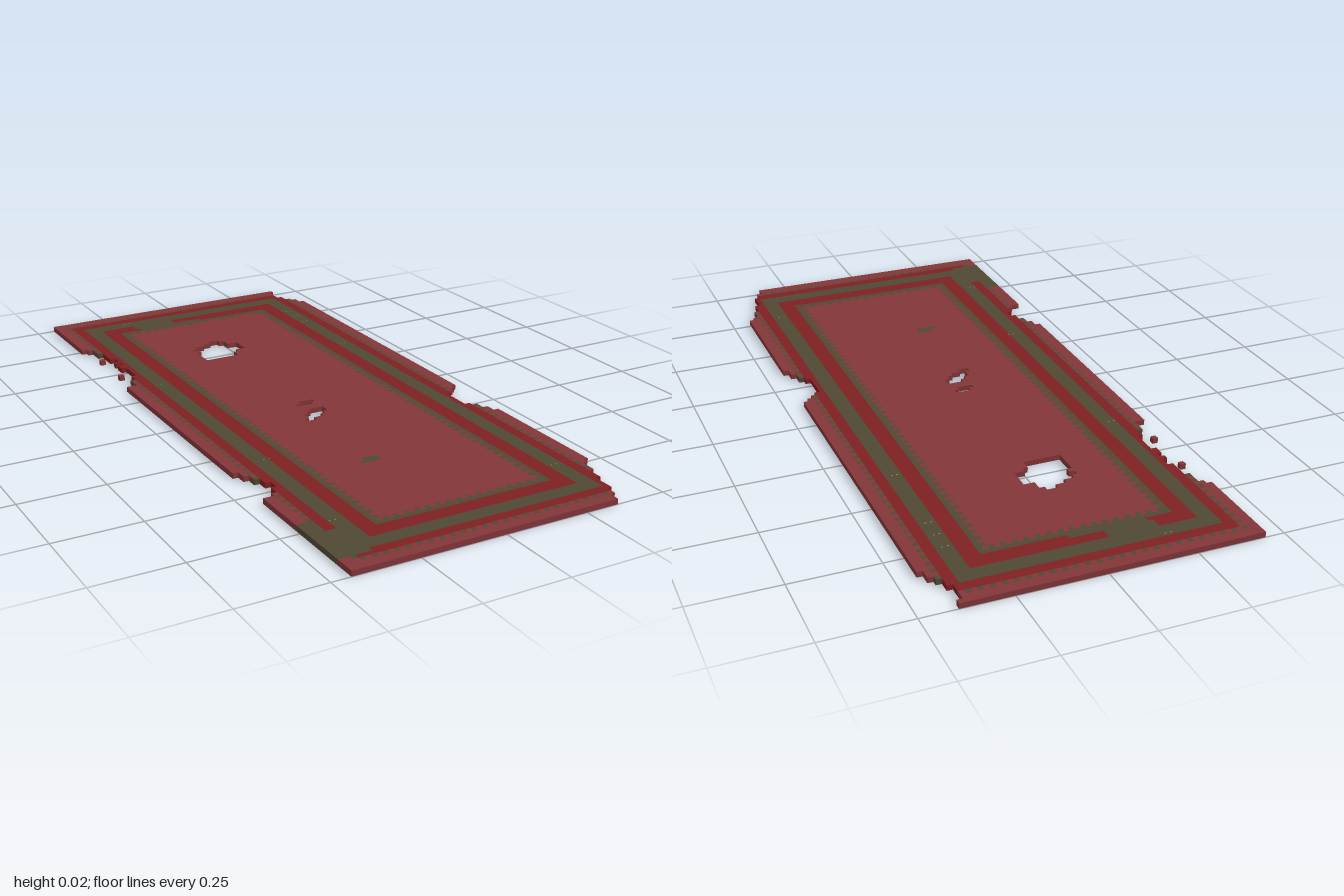
import * as THREE from 'three';

const COLS = 56, ROWS = 126, S = 2 / ROWS;
const X0 = -COLS * S / 2, Z0 = -1;

const mats = {
  fieldRed: new THREE.MeshStandardMaterial({ color: 0x823639 }),
  bandRed: new THREE.MeshStandardMaterial({ color: 0x7e2023 }),
  mossGreen: new THREE.MeshStandardMaterial({ color: 0x4f4834 }),
  fleckOlive: new THREE.MeshStandardMaterial({ color: 0x8a9458 }),
};
for (const k in mats) mats[k].name = k;

// frayed outline: [first row, edge column]
const LEFT = [[0, 0], [17, 1], [18, 2], [21, 3], [25, 4], [29, 3], [31, 4], [36, 3], [38, 2], [41, 0],
  [87, 1], [89, 2], [91, 3], [93, 4], [95, 3], [97, 2], [98, 0]];
const RIGHT = [[0, 53], [1, 52], [5, 53], [7, 54], [8, 55], [10, 56], [71, 55], [72, 54], [73, 53], [74, 52],
  [80, 53], [81, 54], [83, 55], [85, 56], [111, 55], [112, 54], [115, 53], [118, 52], [122, 51], [124, 50]];
// worn holes: row -> [first column, end column]
const HOLES = { 25: [25, 27], 26: [23, 28], 27: [21, 28], 28: [20, 30], 29: [21, 30], 30: [20, 30], 31: [20, 30],
  32: [20, 28], 33: [20, 27], 34: [20, 27], 64: [25, 28], 65: [24, 27], 68: [25, 28], 69: [24, 28],
  70: [23, 27], 71: [23, 26], 72: [22, 24] };
const STRAYS = [[1, 24], [1, 34], [3, 27]];
// moss stains: [column, row, end column, end row]
const STAINS = [[16, 6, 23, 12], [15, 7, 24, 10], [22, 10, 30, 11], [19, 11, 26, 12],
  [0, 109, 3, 122], [3, 113, 6, 122], [22, 92, 25, 93], [21, 93, 25, 94]];

const step = (list, row) => list.reduce((v, [r, c]) => (row >= r ? c : v), 0);

function solid(c, r) {
  if (c < 0 || r < 0 || c >= COLS || r >= ROWS) return false;
  if (STRAYS.some(([a, b]) => a === c && b === r)) return true;
  if (c < step(LEFT, r) || c >= step(RIGHT, r)) return false;
  const h = HOLES[r];
  return !(h && c >= h[0] && c < h[1]);
}

// concentric border bands, counted inward from the edge
function colour(c, r) {
  if (!solid(c, r)) return null;
  if (STAINS.some(([a, b, d, e]) => c >= a && c < d && r >= b && r < e)) return 'mossGreen';
  const d = Math.min(c, r, COLS - 1 - c, ROWS - 1 - r);
  const dash = (c + r) % 2 === 0;
  if (d < 2) return 'fieldRed';
  if (d === 2) return dash ? 'mossGreen' : 'fieldRed';
  if (d < 5) return 'bandRed';
  if (d < 8) return 'mossGreen';
  if (d < 11) return 'bandRed';
  if (d === 11) return 'mossGreen';
  return d === 12 && dash ? 'mossGreen' : 'fieldRed';
}

function quadMesh(name, material, quads) {
  const pos = [];
  for (const [a, b, c, d] of quads) pos.push(...a, ...b, ...c, ...a, ...c, ...d);
  const g = new THREE.BufferGeometry();
  g.setAttribute('position', new THREE.Float32BufferAttribute(pos, 3));
  g.computeVertexNormals();
  const mesh = new THREE.Mesh(g, material);
  mesh.name = name;
  return mesh;
}

export function createModel() {
  const group = new THREE.Group();
  group.name = 'wornRug';
  const quads = { fieldRed: [], bandRed: [], mossGreen: [] };

  for (let r = 0; r < ROWS; r++) {
    const z = Z0 + r * S, w = z + S;
    // top and underside in runs of one colour
    for (let c = 0; c < COLS;) {
      const k = colour(c, r);
      let e = c + 1;
      while (e < COLS && colour(e, r) === k) e++;
      if (k) {
        const x = X0 + c * S, u = X0 + e * S;
        quads[k].push([[x, S, w], [u, S, w], [u, S, z], [x, S, z]]);
        quads[k].push([[x, 0, z], [u, 0, z], [u, 0, w], [x, 0, w]]);
      }
      c = e;
    }
    // exposed edges of the pile
    for (let c = 0; c < COLS; c++) {
      const k = colour(c, r);
      if (!k) continue;
      const x = X0 + c * S, u = x + S, q = quads[k];
      if (!solid(c, r + 1)) q.push([[x, 0, w], [u, 0, w], [u, S, w], [x, S, w]]);
      if (!solid(c, r - 1)) q.push([[u, 0, z], [x, 0, z], [x, S, z], [u, S, z]]);
      if (!solid(c + 1, r)) q.push([[u, 0, w], [u, 0, z], [u, S, z], [u, S, w]]);
      if (!solid(c - 1, r)) q.push([[x, 0, z], [x, 0, w], [x, S, w], [x, S, z]]);
    }
  }
  group.add(quadMesh('rugField', mats.fieldRed, quads.fieldRed));
  group.add(quadMesh('rugBands', mats.bandRed, quads.bandRed));
  group.add(quadMesh('mossBandsAndStains', mats.mossGreen, quads.mossGreen));

  // tiny loose thread flecks on the green band
  const flecks = new THREE.Group();
  flecks.name = 'threadFlecks';
  const dot = new THREE.BoxGeometry(0.004, 0.001, 0.004);
  const addFleck = (x, y, z) => {
    const m = new THREE.Mesh(dot, mats.fleckOlive);
    m.name = 'fleck';
    m.position.set(x, y, z);
    flecks.add(m);
  };
  for (const [x, z] of [[0.33, -0.76], [0.33, -0.7], [0.33, -0.64], [0.33, -0.38], [0.33, 0.75],
    [-0.36, -0.32], [-0.33, 0.34], [-0.36, 0.75], [-0.22, -0.91]])
    for (const dx of [0, 0.016]) addFleck(x + dx, S, z);
  for (let z = -0.84; z < 0.86; z += 0.12)
    for (const x of [-0.34, 0.34]) for (const dz of [0, 0.016]) addFleck(x, 0.0003, z + dz);
  group.add(flecks);
  return group;
}
